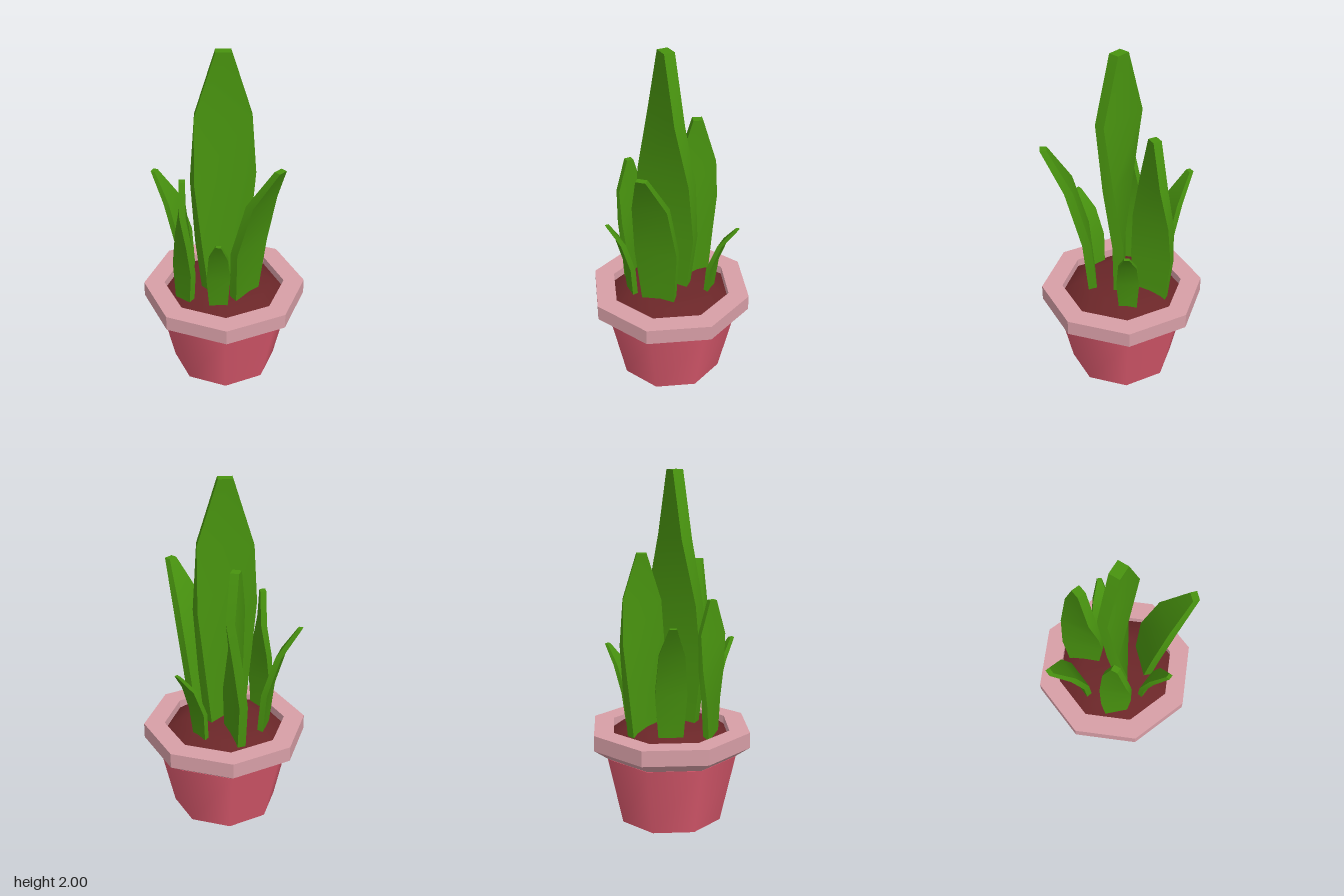
import * as THREE from 'three';

const SIDES = 8, TURN = THREE.MathUtils.degToRad(33.5);

const flat = (hex, name, extra = {}) => {
  const m = new THREE.MeshStandardMaterial({ color: hex, ...extra });
  m.name = name;
  return m;
};

// Eight-sided turned shape from [radius, height] points
function turned(points) {
  return new THREE.LatheGeometry(points.map(p => new THREE.Vector2(...p)), SIDES, TURN);
}

// Leaf from rectangular sections { x, y, z, half, thick, angle }: smooth lengthwise, sharp corners
function leafGeometry(sections) {
  const corners = sections.map(({ x, y, z, half, thick, angle }) => {
    const a = THREE.MathUtils.degToRad(angle), c = Math.cos(a), s = Math.sin(a);
    return [[1, -1], [1, 1], [-1, 1], [-1, -1]].map(([u, v]) => {
      const du = u * half, dv = v * thick / 2;
      return [x + du * c - dv * s, y, z + du * s + dv * c];
    });
  });
  const pos = [], index = [];
  for (let side = 0; side < 4; side++) {
    const start = pos.length / 3;
    corners.forEach(ring => pos.push(...ring[side], ...ring[(side + 1) % 4]));
    for (let i = 0; i < corners.length - 1; i++) {
      const a = start + i * 2;
      index.push(a, a + 2, a + 1, a + 1, a + 2, a + 3);
    }
  }
  // Blunt tip
  const tip = pos.length / 3;
  corners[corners.length - 1].forEach(p => pos.push(...p));
  index.push(tip, tip + 2, tip + 1, tip, tip + 3, tip + 2);
  const g = new THREE.BufferGeometry();
  g.setAttribute('position', new THREE.Float32BufferAttribute(pos, 3));
  g.setIndex(index);
  g.computeVertexNormals();
  return g;
}

// Upright leaf that twists from angle a0 to a1 as it rises
function twistedLeaf({ x, z, top, half, thick, a0, a1 }) {
  const widths = [0.7, 0.97, 1, 0.84, 0.22], turn = [0, 0.05, 0.45, 1, 1];
  return leafGeometry(widths.map((w, i) => ({
    x, z, y: i ? 0.55 + (top - 0.55) * i / 4 : 0.5,
    half: half * w, thick, angle: a0 + (a1 - a0) * turn[i],
  })));
}

// Leaf that curls outward from its base to its tip
function bentLeaf({ base, tip, top, half, thick, angle }) {
  const rise = [0, 0.37, 0.74, 1], lean = [0, 0.15, 0.5, 1];
  const widths = [0.74, 1, 0.8, 0.22], thin = [1, 1, 1, 0.75];
  return leafGeometry(rise.map((t, i) => ({
    x: base[0] + (tip[0] - base[0]) * lean[i],
    z: base[1] + (tip[1] - base[1]) * lean[i],
    y: i ? 0.57 + (top - 0.57) * t : 0.5,
    half: half * widths[i], thick: thick * thin[i], angle,
  })));
}

export function createModel() {
  const group = new THREE.Group();
  const pot = flat(0xdc5a6e, 'pot red');
  const rimPink = flat(0xd79ea6, 'rim pink', { flatShading: true });
  const earth = flat(0x6a2628, 'soil brown');
  const green = flat(0x48930f, 'leaf green');
  const add = (name, geometry, material) => {
    const mesh = new THREE.Mesh(geometry, material);
    mesh.name = name;
    group.add(mesh);
  };

  // Pot
  const body = new THREE.CylinderGeometry(0.393, 0.304, 0.4, SIDES, 1, false, TURN);
  body.translate(0, 0.2, 0);
  add('potBody', body, pot);
  add('potRim', turned([[0.39, 0.4], [0.4745, 0.46], [0.4745, 0.55], [0.354, 0.55], [0.354, 0.47]]), rimPink);
  add('soil', turned([[0.354, 0.5], [0.28, 0.555], [0.2, 0.58], [0, 0.6]]), earth);

  // Upright leaves
  const upright = {
    centreLeaf: { x: -0.01, z: 0.022, top: 2, half: 0.185, thick: 0.062, a0: -28, a1: 13 },
    backLeaf: { x: 0, z: -0.197, top: 1.56, half: 0.125, thick: 0.05, a0: 83, a1: 123 },
    rightSideLeaf: { x: -0.255, z: 0.09, top: 1.31, half: 0.09, thick: 0.034, a0: 63, a1: 101 },
  };
  for (const [name, spec] of Object.entries(upright)) add(name, twistedLeaf(spec), green);

  // Outward-curling leaves
  const curling = {
    frontLeftLeaf: { base: [0.08, 0.15], tip: [0.21, 0.37], top: 1.46, half: 0.122, thick: 0.05, angle: -33 },
    frontLeaf: { base: [-0.083, 0.215], tip: [-0.115, 0.358], top: 1.04, half: 0.066, thick: 0.03, angle: 18 },
    backRightLeaf: { base: [-0.185, -0.14], tip: [-0.352, -0.252], top: 1.21, half: 0.088, thick: 0.034, angle: -55 },
    backLeftLeaf: { base: [0.18, -0.137], tip: [0.33, -0.208], top: 1, half: 0.064, thick: 0.027, angle: 65 },
  };
  for (const [name, spec] of Object.entries(curling)) add(name, bentLeaf(spec), green);

  return group;
}
